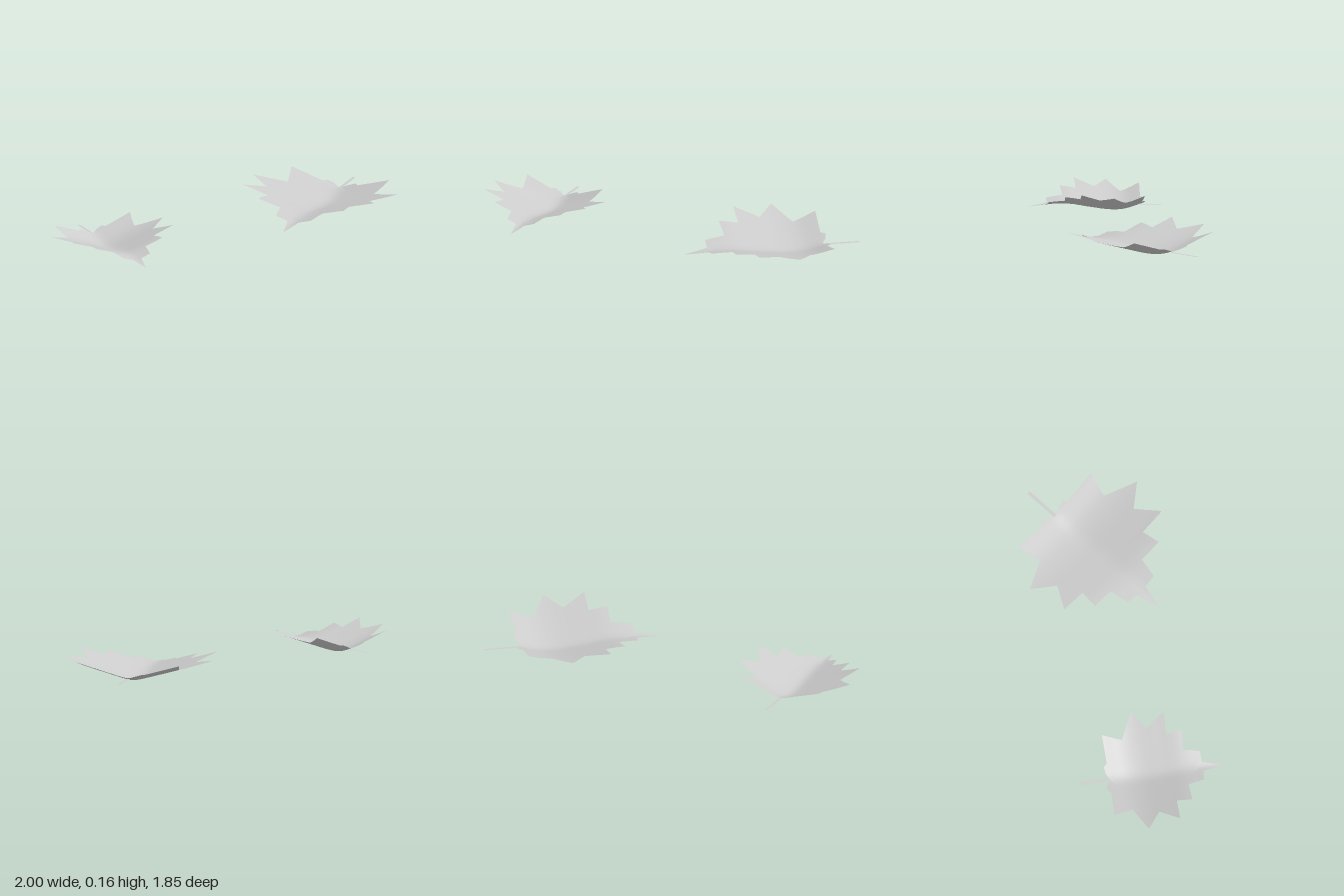
import * as THREE from 'three';
import { mergeVertices } from 'three/addons/utils/BufferGeometryUtils.js';

// Right half of the leaf outline: [distance from midrib, distance along midrib]
const HALF = [
  [0.012, 0], [0.045, -0.022], [0.094, -0.029], [0.115, -0.003], [0.326, -0.01],
  [0.286, 0.138], [0.479, 0.235], [0.341, 0.334], [0.437, 0.481], [0.27, 0.478],
  [0.285, 0.597], [0.142, 0.589], [0.116, 0.713], [0.037, 0.717],
];
const TIP = [0, 0.867];

// Height of the midrib from stalk to tip
const MIDRIB = new THREE.SplineCurve([
  [-0.04, 0.105], [0, 0.096], [0.12, 0.066], [0.24, 0.062],
  [0.4, 0.08], [0.56, 0.1], [0.7, 0.098], [0.87, 0.083],
].map(([t, y]) => new THREE.Vector2(t, y)));
const RIB_POINTS = MIDRIB.getPoints(120);

function ribHeight(t) {
  const i = RIB_POINTS.findIndex((p) => p.x >= t);
  if (i === 0) return RIB_POINTS[0].y;
  if (i < 0) return RIB_POINTS[RIB_POINTS.length - 1].y;
  const a = RIB_POINTS[i - 1], b = RIB_POINTS[i];
  return THREE.MathUtils.mapLinear(t, a.x, b.x, a.y, b.y);
}

// Both halves fold upward from a softly rounded midrib
const leafHeight = (d, t) => ribHeight(t) + 0.28 * (Math.hypot(d, 0.025) - 0.025);

// Split each triangle into four, repeatedly
function subdivide(triangles, levels) {
  for (let l = 0; l < levels; l++) {
    triangles = triangles.flatMap(([a, b, c]) => {
      const mid = (p, q) => p.clone().add(q).multiplyScalar(0.5);
      const ab = mid(a, b), bc = mid(b, c), ca = mid(c, a);
      return [[a, ab, ca], [ab, b, bc], [ca, bc, c], [ab, bc, ca]];
    });
  }
  return triangles;
}

function bladeGeometry() {
  const mirrored = HALF.map(([d, t]) => [-d, t]).reverse();
  const outline = [...HALF, TIP, ...mirrored].map(([d, t]) => new THREE.Vector2(d, -t));
  const flat = new THREE.ShapeGeometry(new THREE.Shape(outline)).rotateX(-Math.PI / 2).toNonIndexed();
  const pos = flat.attributes.position;
  const triangles = [];
  for (let i = 0; i < pos.count; i += 3) {
    triangles.push([0, 1, 2].map((k) => new THREE.Vector3().fromBufferAttribute(pos, i + k)));
  }
  const points = subdivide(triangles, 4).flat()
    .map((p) => new THREE.Vector3(p.x, leafHeight(p.x, p.z), p.z));
  const geometry = mergeVertices(new THREE.BufferGeometry().setFromPoints(points), 1e-5);
  geometry.computeVertexNormals();
  return geometry;
}

// Flat stalk strip, reaching back from the base of the blade
function stalkGeometry() {
  return new THREE.PlaneGeometry(0.02, 0.24).rotateX(-Math.PI / 2).translate(0, 0.09, -0.105);
}

export function createModel() {
  const model = new THREE.Group();
  model.name = 'fallenLeaves';
  const leafGrey = new THREE.MeshStandardMaterial({ color: 0xcccccc, side: THREE.DoubleSide });
  leafGrey.name = 'leafGrey';
  const blade = bladeGeometry();
  const stalk = stalkGeometry();

  const addLeaf = (name, x, y, z, turn, size) => {
    const leaf = new THREE.Group();
    leaf.name = name;
    for (const [part, geometry] of [['blade', blade], ['stalk', stalk]]) {
      const mesh = new THREE.Mesh(geometry, leafGrey);
      mesh.name = part;
      leaf.add(mesh);
    }
    leaf.position.set(x, y, z);
    leaf.rotation.y = turn;
    leaf.scale.set(size, 1, size);
    model.add(leaf);
  };

  addLeaf('largeLeaf', 0.604, 0, -0.709, -0.287, 1);
  addLeaf('smallLeaf', -0.788, 0.017, 0.356, 0.61, 0.803);
  return model;
}
